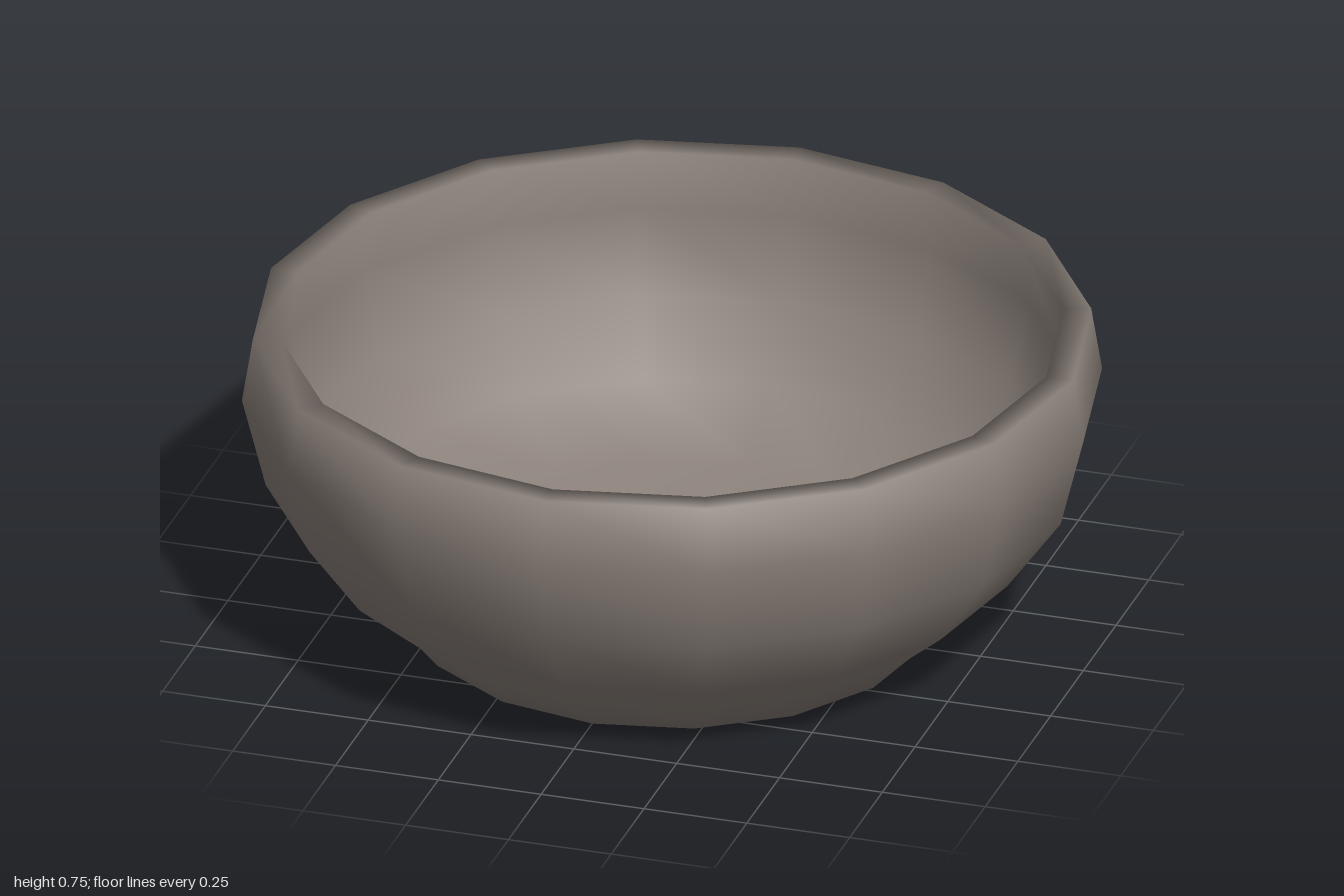
import * as THREE from 'three';

export function createModel() {
  const group = new THREE.Group();
  const stoneware = new THREE.MeshStandardMaterial({ color: 0x8c827b });
  stoneware.name = 'warm grey stoneware';

  // Half cross-section: underside, outer wall, rim, inner wall, floor
  const profile = [
    [0, 0], [0.61, 0], [0.655, 0.055], [0.815, 0.19], [0.945, 0.37],
    [1, 0.59], [0.975, 0.745],
    [0.91, 0.745], [0.93, 0.59], [0.88, 0.39], [0.755, 0.235],
    [0.58, 0.11], [0, 0.07],
  ].map(([r, y]) => new THREE.Vector2(r, y));

  // Sixteen-sided, smoothly shaded bowl
  const bowl = new THREE.Mesh(new THREE.LatheGeometry(profile, 16), stoneware);
  bowl.name = 'bowl';
  group.add(bowl);
  return group;
}
